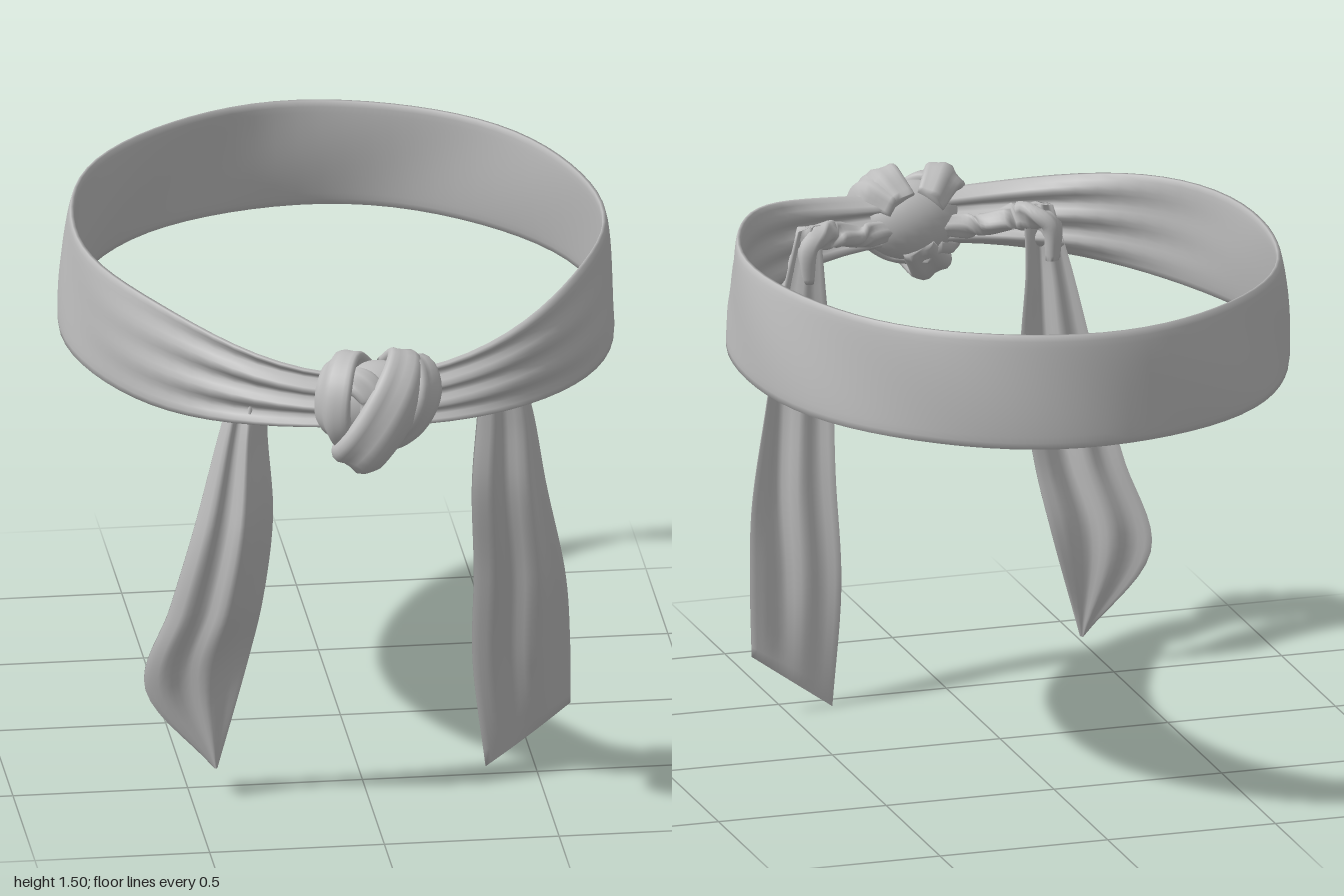
import * as THREE from 'three';

const cloth = new THREE.MeshStandardMaterial({ color: 0xbdbdbd, side: THREE.DoubleSide });
cloth.name = 'grey cloth';
const V = (x, y, z) => new THREE.Vector3(x, y, z);

// Skin a row of closed cross-sections; either join the ends or cap them.
function loft(name, rings, joined = false) {
  const n = rings[0].length, m = rings.length, pts = rings.flat(), idx = [];
  for (let i = 0; i < (joined ? m : m - 1); i++) {
    for (let j = 0; j < n; j++) {
      const a = i * n + j, b = i * n + (j + 1) % n;
      const c = ((i + 1) % m) * n + j, d = ((i + 1) % m) * n + (j + 1) % n;
      idx.push(a, c, b, b, c, d);
    }
  }
  if (!joined) {
    const last = (m - 1) * n;
    for (let j = 1; j < n - 1; j++) idx.push(0, j, j + 1, last, last + j + 1, last + j);
  }
  const geo = new THREE.BufferGeometry().setFromPoints(pts);
  geo.setIndex(idx);
  geo.computeVertexNormals();
  const mesh = new THREE.Mesh(geo, cloth);
  mesh.name = name;
  return mesh;
}

// Oval band that narrows and gathers into pleats towards the knot at the front.
function headband() {
  const rings = [], steps = 72, N = 18;
  for (let i = 0; i < steps; i++) {
    const t = (i / steps) * Math.PI * 2, c = Math.cos(t), s = Math.sin(t);
    const w = Math.pow(Math.max(0, c), 4);
    const lo = 1.175 + 0.05 * w, hi = 1.503 - 0.125 * w;
    const ring = [];
    for (const face of [1, -1]) {
      for (let k = 0; k <= N; k++) {
        const v = face > 0 ? k / N : 1 - k / N;
        const half = (0.013 + 0.014 * w) * (0.35 + 0.65 * Math.sqrt(Math.max(0, Math.sin(Math.PI * v))));
        const pleat = 0.022 * w * Math.cos(v * Math.PI * 6 + 0.8 * s) + 0.004 * Math.sin(t * 7 + v * 4);
        const off = face * half + pleat - 0.028 * v * (1 - w);
        ring.push(V(s * (0.782 + off), lo + (hi - lo) * v, -0.08 + c * (0.905 + off)));
      }
    }
    rings.push(ring);
  }
  return loft('headband', rings, true);
}

// Hanging end: each row gives left edge, right edge and fold depth.
function tail(name, rows, folds) {
  const left = new THREE.CatmullRomCurve3(rows.map(r => V(...r[0])));
  const right = new THREE.CatmullRomCurve3(rows.map(r => V(...r[1])));
  const rings = [], steps = 36, N = 16;
  for (let i = 0; i <= steps; i++) {
    const u = i / steps, f = u * (rows.length - 1), k = Math.min(rows.length - 2, Math.floor(f));
    const depth = THREE.MathUtils.lerp(rows[k][2], rows[k + 1][2], f - k);
    const a = left.getPoint(u), b = right.getPoint(u);
    const across = b.clone().sub(a);
    const nrm = V(-across.z, 0, across.x).normalize();
    const ring = [];
    for (const face of [1, -1]) {
      for (let j = 0; j <= N; j++) {
        const v = face > 0 ? j / N : 1 - j / N, bell = Math.sin(Math.PI * v);
        const off = depth * (bell * 0.8 + 0.5 * Math.sin(v * Math.PI * 2 * folds) * bell)
          + face * (0.003 + 0.007 * bell);
        ring.push(a.clone().lerp(b, v).addScaledVector(nrm, off));
      }
    }
    rings.push(ring);
  }
  return loft(name, rings);
}

// Soft folded strap that wraps around the middle of the knot.
const knotCentre = V(0, 1.29, 0.83);
function strap(name, points, width, thick) {
  const curve = new THREE.CatmullRomCurve3(points.map(p => V(...p)));
  const rings = [], steps = 30, N = 20;
  for (let i = 0; i <= steps; i++) {
    const u = i / steps, p = curve.getPoint(u), T = curve.getTangent(u);
    const out = p.clone().sub(knotCentre);
    out.addScaledVector(T, -out.dot(T)).normalize();
    const side = T.clone().cross(out);
    const size = 0.65 + 0.35 * Math.sin(Math.PI * u);
    const ring = [];
    for (let j = 0; j < N; j++) {
      const a = (j / N) * Math.PI * 2, ca = Math.cos(a), sa = Math.sin(a);
      const crease = 1 + 0.22 * Math.cos(ca * 5 + u * 3);
      ring.push(p.clone().addScaledVector(side, width * size * ca)
        .addScaledVector(out, thick * size * sa * crease));
    }
    rings.push(ring);
  }
  return loft(name, rings);
}

function knot() {
  const g = new THREE.Group();
  g.name = 'knot';
  const core = new THREE.Mesh(new THREE.SphereGeometry(1, 24, 16), cloth);
  core.name = 'knotCore';
  core.scale.set(0.145, 0.115, 0.095);
  core.position.set(0, 1.3, 0.835);
  g.add(core,
    strap('diagonalWrap', [[0.05, 1.37, 0.77], [0.085, 1.418, 0.85], [0.06, 1.37, 0.925], [0, 1.27, 0.96],
      [-0.065, 1.175, 0.945], [-0.07, 1.15, 0.86], [0, 1.24, 0.77]], 0.078, 0.038),
    strap('rightSideFold', [[-0.04, 1.37, 0.77], [-0.1, 1.418, 0.84], [-0.13, 1.36, 0.9], [-0.13, 1.26, 0.9],
      [-0.09, 1.2, 0.85], [-0.04, 1.22, 0.78]], 0.07, 0.036),
    strap('leftSideFold', [[0.06, 1.37, 0.77], [0.125, 1.4, 0.84], [0.135, 1.34, 0.89], [0.09, 1.25, 0.9],
      [0.02, 1.2, 0.89], [-0.03, 1.2, 0.82]], 0.065, 0.034),
    strap('upperFold', [[-0.13, 1.33, 0.85], [-0.07, 1.385, 0.9], [-0.02, 1.34, 0.93], [-0.04, 1.24, 0.92]], 0.045, 0.03));
  return g;
}

export function createModel() {
  const g = new THREE.Group();
  g.name = 'knottedHeadband';
  g.add(headband(), knot());

  // Tails hang from just inside the band on each side of the knot.
  g.add(tail('rightTail', [
    [[-0.37, 1.36, 0.66], [-0.29, 1.36, 0.69], 0.02],
    [[-0.425, 1.17, 0.66], [-0.295, 1.17, 0.68], 0.06],
    [[-0.5, 0.86, 0.65], [-0.277, 0.9, 0.67], 0.07],
    [[-0.565, 0.6, 0.61], [-0.3, 0.62, 0.62], 0.05],
    [[-0.63, 0.34, 0.56], [-0.335, 0.42, 0.57], 0.03],
    [[-0.435, 0.095, 0.58], [-0.425, 0.095, 0.58], 0],
  ], 2));
  g.add(tail('leftTail', [
    [[0.32, 1.36, 0.68], [0.4, 1.36, 0.64], 0.02],
    [[0.31, 1.17, 0.66], [0.47, 1.17, 0.57], 0.05],
    [[0.297, 0.95, 0.64], [0.52, 0.9, 0.54], 0.05],
    [[0.312, 0.65, 0.56], [0.582, 0.6, 0.49], 0.04],
    [[0.317, 0.35, 0.49], [0.6, 0.38, 0.45], 0.025],
    [[0.36, 0.005, 0.44], [0.605, 0.18, 0.42], 0],
  ], 2));

  // Gathered cloth running behind the band from the knot to each tail.
  for (const [s, name] of [[-1, 'rightTailGather'], [1, 'leftTailGather']]) {
    g.add(strap(name, [[s * 0.08, 1.29, 0.78], [s * 0.18, 1.29, 0.755], [s * 0.28, 1.32, 0.71],
      [s * 0.36, 1.31, 0.665], [s * 0.37, 1.2, 0.66]], 0.045, 0.03));
  }
  return g;
}
